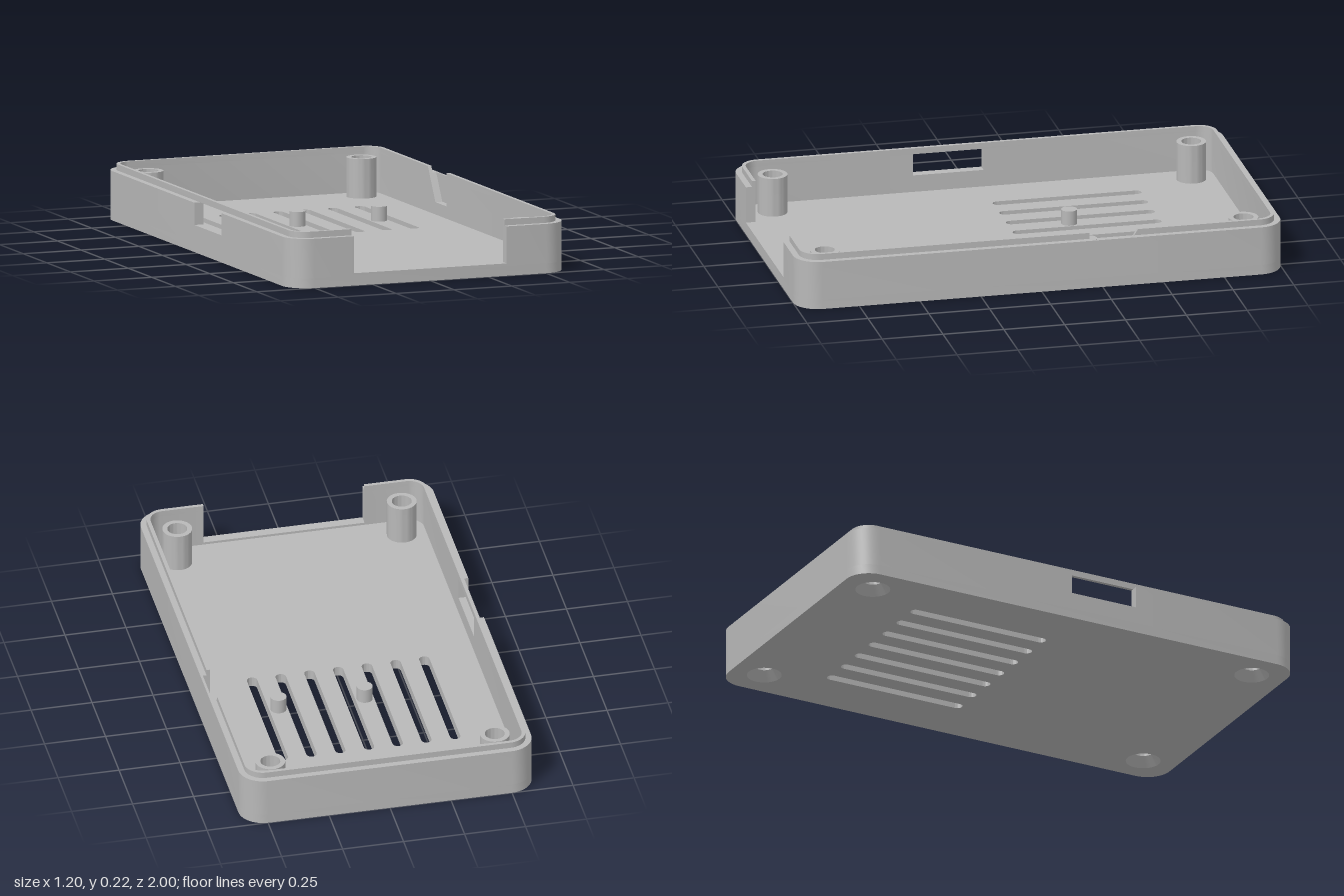
import * as THREE from 'three';
import { toCreasedNormals } from 'three/addons/utils/BufferGeometryUtils.js';

const HX = 0.6, HZ = 1, R = 0.1;                  // half width, half length, corner radius
const FLOOR = 0.04, WALL = 0.2, LIP = 0.225;      // heights
const INNER = 0.04, LIP_OUT = 0.025;              // insets of the inner wall and of the lip

// Plan shapes are drawn in (x, v) with v = -z, so v points to the back.
// Corners run counterclockwise from the front left one.
const CORNERS = [[1, -1], [1, 1], [-1, 1], [-1, -1]];

function cornerArc(index, inset) {
  const [sx, sv] = CORNERS[index];
  const pts = [];
  for (let i = 0; i <= 10; i++) {
    const a = (index - 1 + i / 10) * Math.PI / 2;
    pts.push(new THREE.Vector2(
      sx * (HX - R) + Math.cos(a) * (R - inset),
      sv * (HZ - R) + Math.sin(a) * (R - inset)));
  }
  return pts;
}

export function createModel() {
  const model = new THREE.Group();
  model.name = 'enclosureBase';
  const grey = new THREE.MeshStandardMaterial({ color: 0xb8b8b8 });
  grey.name = 'grey plastic';

  function add(name, geometry, x = 0, y = 0, z = 0) {
    const mesh = new THREE.Mesh(geometry, grey);
    mesh.name = name;
    mesh.position.set(x, y, z);
    model.add(mesh);
    return mesh;
  }

  function box(name, x0, x1, y0, y1, z0, z1) {
    add(name, new THREE.BoxGeometry(x1 - x0, y1 - y0, z1 - z0),
      (x0 + x1) / 2, (y0 + y1) / 2, (z0 + z1) / 2);
  }

  // Plan shape raised from y0 to y1
  function raise(name, shape, y0, y1) {
    const geo = new THREE.ExtrudeGeometry(shape, { depth: y1 - y0, bevelEnabled: false, curveSegments: 24 });
    geo.rotateX(-Math.PI / 2);
    add(name, toCreasedNormals(geo, 0.5), 0, y0, 0);
  }

  // Side profile in (v, y) extruded along x
  function sideways(name, points, x0, x1) {
    const shape = new THREE.Shape(points.map(p => new THREE.Vector2(...p)));
    const geo = new THREE.ExtrudeGeometry(shape, { depth: x1 - x0, bevelEnabled: false });
    geo.rotateY(Math.PI / 2);
    add(name, geo, x0, 0, 0);
  }

  // Wall strip between two insets, from a start point round some corners to an end point
  function strip(name, start, corners, end, outer, inner, y0, y1) {
    const edge = d => [
      new THREE.Vector2(...start(d)),
      ...corners.flatMap(c => cornerArc(c, d)),
      new THREE.Vector2(...end(d))];
    raise(name, new THREE.Shape([...edge(outer), ...edge(inner).reverse()]), y0, y1);
  }

  // Floor with vent slots and screw holes
  const floor = new THREE.Shape([0, 1, 2, 3].flatMap(c => cornerArc(c, 0)));
  const slotR = 0.021, slotFront = 0.02, slotBack = 0.63, pitch = 0.1177;
  for (let i = -3; i <= 3; i++) {
    const slot = new THREE.Path();
    slot.absarc(i * pitch, slotBack - slotR, slotR, 0, Math.PI);
    slot.absarc(i * pitch, slotFront + slotR, slotR, Math.PI, Math.PI * 2);
    slot.closePath();
    floor.holes.push(slot);
  }
  const postX = 0.46, postZ = 0.86, sinkR = 0.07;
  for (const [sx, sv] of CORNERS) {
    const hole = new THREE.Path();
    hole.absarc(sx * postX, sv * postZ, sinkR, 0, Math.PI * 2);
    floor.holes.push(hole);
  }
  raise('floor', floor, 0, FLOOR);

  // Hollow screw posts with a countersink underneath
  const postProfile = [[sinkR, FLOOR], [0.06, FLOOR], [0.06, WALL], [0.04, WALL], [0.04, FLOOR], [sinkR, 0]]
    .map(p => new THREE.Vector2(...p));
  const postGeo = toCreasedNormals(new THREE.LatheGeometry(postProfile, 48), 0.5);
  for (const [sx, sv] of CORNERS) add('screwPost', postGeo, sx * postX, 0, -sv * postZ);

  // Ends of the wall strips, at each opening
  const frontCut = 0.33;
  const frontLeft = d => [frontCut, -HZ + d];
  const frontRight = d => [-frontCut, -HZ + d];
  const left = v => d => [HX - d, v];
  const right = v => d => [-HX + d, v];

  // Walls, broken by the front opening, left pocket and right window
  strip('frontLeftWall', frontLeft, [0], left(0.2), 0, INNER, FLOOR, WALL);
  strip('backWall', left(0.4), [1, 2], right(0.03), 0, INNER, FLOOR, WALL);
  strip('frontRightWall', right(-0.26), [3], frontRight, 0, INNER, FLOOR, WALL);

  // Thin lip, running on above the window
  strip('frontLeftLip', frontLeft, [0], left(0.2), LIP_OUT, INNER, WALL, LIP);
  strip('backLip', left(0.4), [1, 2, 3], frontRight, LIP_OUT, INNER, WALL, LIP);

  // Sills of the front opening and the right window
  box('frontSill', -frontCut, frontCut, FLOOR, 0.05, HZ - INNER, HZ);
  box('windowSill', -HX, -HX + INNER, FLOOR, 0.11, -0.03, 0.26);

  // Pocket in the left wall: outer skin, sloped bed and lip end
  const skin = 0.59;
  box('pocketSkin', skin, HX, FLOOR, WALL, -0.4, -0.2);
  sideways('pocketBed',
    [[0.2, FLOOR], [0.4, FLOOR], [0.4, WALL], [0.385, WALL], [0.32, 0.09], [0.2, 0.09]],
    HX - INNER, skin);
  sideways('pocketLipEnd', [[0.385, WALL], [0.4, WALL], [0.4, LIP]], HX - INNER, HX - LIP_OUT);

  // Locating pegs between the slots
  const pegGeo = new THREE.CylinderGeometry(0.032, 0.032, 0.1 - FLOOR, 32);
  for (const x of [-0.5 * pitch, 2.5 * pitch]) add('peg', pegGeo, x, (0.1 + FLOOR) / 2, -0.265);

  return model;
}
